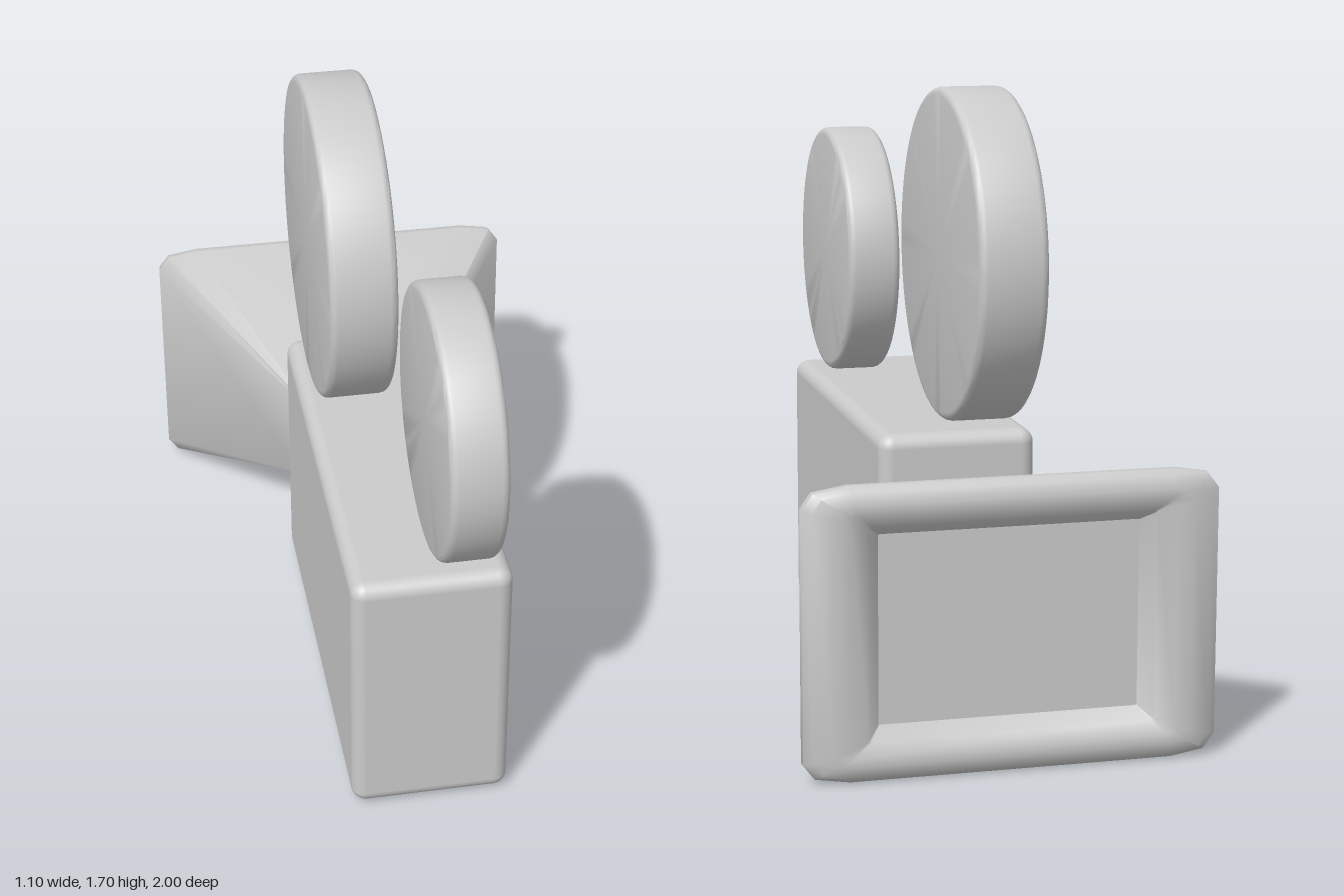
import * as THREE from 'three';
import { toCreasedNormals } from 'three/addons/utils/BufferGeometryUtils.js';
import { RoundedBoxGeometry } from 'three/addons/geometries/RoundedBoxGeometry.js';

const material = new THREE.MeshStandardMaterial({ color: 0xcccccc });

function addMesh(group, name, geometry, x, y, z) {
  const mesh = new THREE.Mesh(geometry, material);
  mesh.name = name;
  mesh.position.set(x, y, z);
  group.add(mesh);
  return mesh;
}

// Disc with rounded rims, its axis along x
function reelGeometry(radius, width) {
  const b = 0.022, h = width / 2;
  const profile = [new THREE.Vector2(0, -h)];
  for (const side of [-1, 1]) {
    for (let i = 0; i <= 4; i++) {
      const a = (side < 0 ? -Math.PI / 2 : 0) + (i / 4) * (Math.PI / 2);
      profile.push(new THREE.Vector2(radius - b + b * Math.cos(a), side * (h - b) + b * Math.sin(a)));
    }
  }
  profile.push(new THREE.Vector2(0, h));
  const geometry = new THREE.LatheGeometry(profile, 64);
  geometry.rotateZ(-Math.PI / 2);
  return toCreasedNormals(geometry, 0.6);
}

// Rectangle with softened corners, counter-clockwise seen from +z
function hornSection([z, w, h, cx, cy]) {
  const corner = [[w, h - cy], [w - cx * 0.25, h - cy * 0.27], [w - cx, h]];
  const mirrored = (sx, sy) => corner.map(([x, y]) => [x * sx, y * sy, z]);
  return [
    ...mirrored(1, 1), ...mirrored(-1, 1).reverse(),
    ...mirrored(-1, -1), ...mirrored(1, -1).reverse(),
  ];
}

// Skin between successive sections running towards -z
function hornGeometry() {
  const sections = [ // z, half width, half height, corner width, corner height
    [-0.38, 0.18, 0.15, 0.01, 0.01],
    [-0.44, 0.185, 0.15, 0.01, 0.01],
    [-0.95, 0.55, 0.386, 0.12, 0.055],
    [-0.97, 0.548, 0.385, 0.12, 0.055],
    [-0.988, 0.525, 0.372, 0.1, 0.05],
    [-1, 0.47, 0.34, 0.05, 0.03],
    [-0.998, 0.43, 0.315, 0.02, 0.02],
    [-0.98, 0.38, 0.28, 0.01, 0.01],
    [-0.935, 0.345, 0.25, 0.005, 0.005],
    [-0.935, 0, 0, 0, 0],
  ].map(hornSection);
  const n = sections[0].length;
  const index = [];
  for (let i = 0; i < sections.length - 1; i++) {
    for (let j = 0; j < n; j++) {
      const a = i * n + j, b = i * n + (j + 1) % n;
      index.push(a, a + n, b, b, a + n, b + n);
    }
  }
  const geometry = new THREE.BufferGeometry();
  geometry.setAttribute('position', new THREE.Float32BufferAttribute(sections.flat(2), 3));
  geometry.setIndex(index);
  return toCreasedNormals(geometry, 0.65);
}

export function createModel() {
  const group = new THREE.Group();
  group.name = 'filmCamera';

  // Camera body
  addMesh(group, 'body', new RoundedBoxGeometry(0.44, 0.765, 1.24, 4, 0.04), 0, 0.39, 0.21);

  // Film reels, side by side in x
  addMesh(group, 'largeReel', reelGeometry(0.463, 0.19), -0.085, 1.238, -0.21);
  addMesh(group, 'smallReel', reelGeometry(0.372, 0.155), 0.083, 1.15, 0.628);

  // Flared lens hood with a rounded rim and recessed panel
  addMesh(group, 'lensHood', hornGeometry(), 0, 0.387, 0);

  return group;
}
